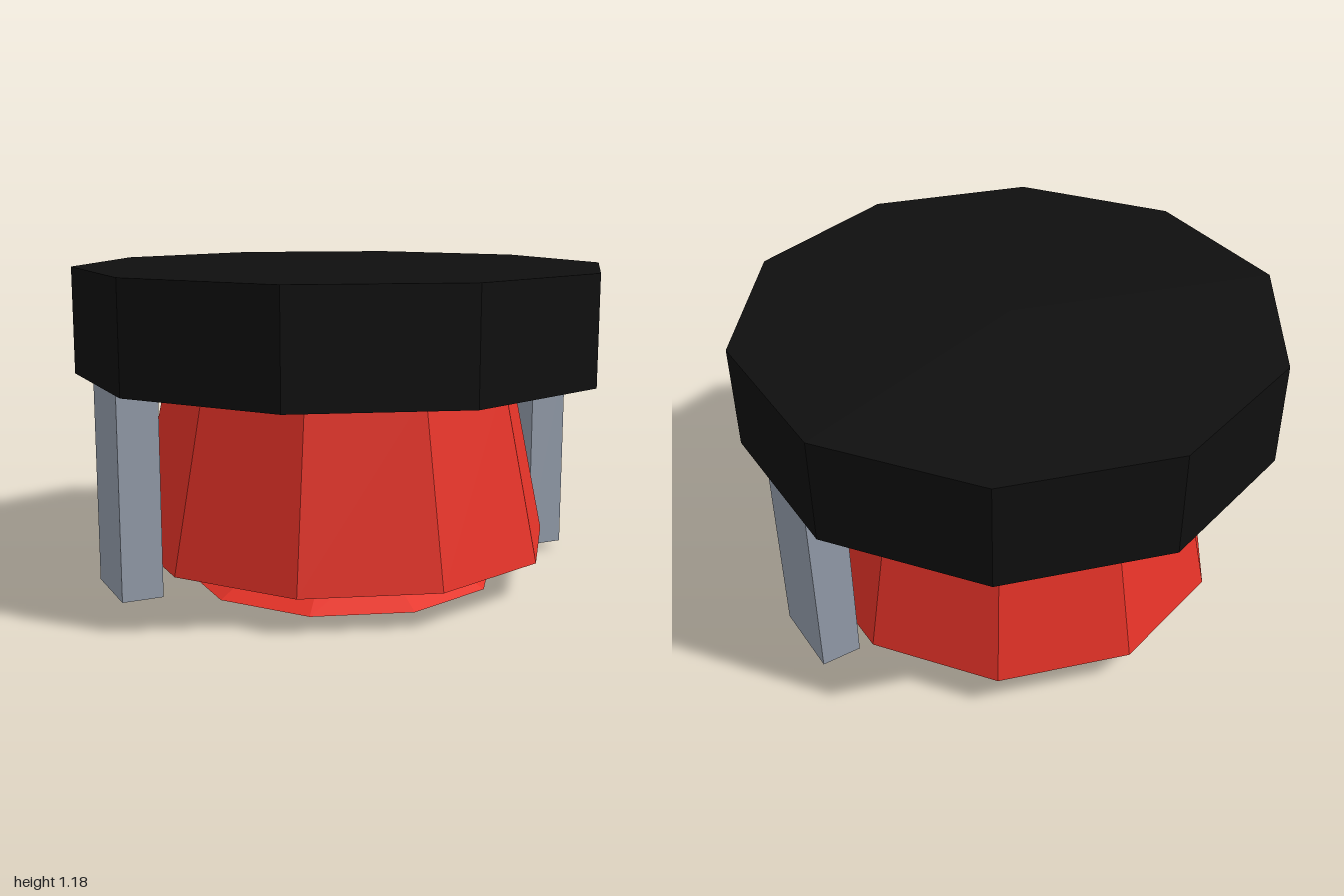
import * as THREE from 'three';

export function createModel() {
  const model = new THREE.Group();
  const material = (name, color) => {
    const m = new THREE.MeshStandardMaterial({ color, flatShading: true });
    m.name = name;
    return m;
  };
  const red = material('red', 0xe63328);
  const black = material('black', 0x0f0f0f);
  const grey = material('blue grey', 0x949dab);

  const add = (name, geometry, mat, x, y) => {
    const mesh = new THREE.Mesh(geometry, mat);
    mesh.name = name;
    mesh.position.set(x, y, 0);
    model.add(mesh);
  };
  // Ten-sided drum between two heights
  const drum = (name, rTop, rBottom, y0, y1, mat) =>
    add(name, new THREE.CylinderGeometry(rTop, rBottom, y1 - y0, 10), mat, 0, (y0 + y1) / 2);

  drum('cap', 1, 1, 0.785, 1.18, black);
  drum('body', 0.66, 0.8, 0.13, 0.79, red);
  drum('baseFlange', 0.345, 0.6, 0, 0.135, red);

  // Side posts hanging from the cap
  for (const [name, side] of [['leftPost', 1], ['rightPost', -1]]) {
    add(name, new THREE.BoxGeometry(0.15, 0.76, 0.3), grey, side * 0.848, 0.41);
  }
  return model;
}
